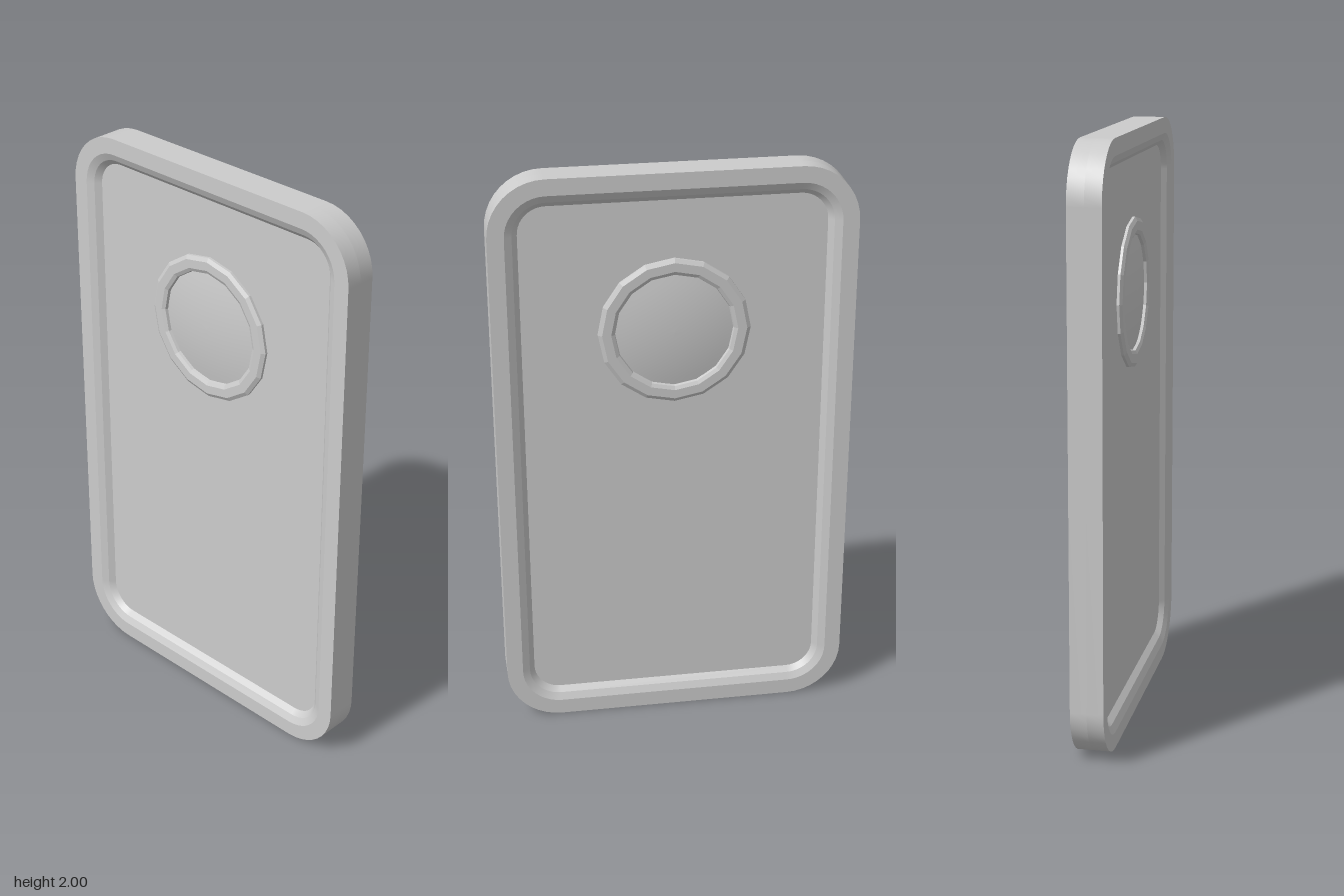
import * as THREE from 'three';

const material = new THREE.MeshStandardMaterial({ color: 0xcccccc });
const faceted = new THREE.MeshStandardMaterial({ color: 0xcccccc, flatShading: true });
const HALF_W = 0.6, HALF_H = 1, CORNER = 0.19, STEPS = 10;

// Rounded rectangle, counter-clockwise from the front, inset by d at depth z
function loop(d, z) {
  const r = CORNER - d, points = [];
  [[1, 1], [-1, 1], [-1, -1], [1, -1]].forEach(([sx, sy], corner) => {
    for (let i = 0; i <= STEPS; i++) {
      const a = (corner + i / STEPS) * Math.PI / 2;
      points.push([
        sx * (HALF_W - CORNER) + r * Math.cos(a),
        1 + sy * (HALF_H - CORNER) + r * Math.sin(a),
        z,
      ]);
    }
  });
  return points;
}

function surface(name, positions, index) {
  const geometry = new THREE.BufferGeometry();
  geometry.setAttribute('position', new THREE.Float32BufferAttribute(positions.flat(), 3));
  geometry.setIndex(index);
  geometry.computeVertexNormals();
  const mesh = new THREE.Mesh(geometry, material);
  mesh.name = name;
  return mesh;
}

// Strip joining an outer loop to an inner loop
function band(name, [d0, z0], [d1, z1]) {
  const outer = loop(d0, z0), inner = loop(d1, z1), n = outer.length, index = [];
  for (let i = 0; i < n; i++) {
    const j = (i + 1) % n;
    index.push(i, j, n + j, i, n + j, n + i);
  }
  return surface(name, [...outer, ...inner], index);
}

function panel(d, z) {
  const edge = loop(d, z), n = edge.length, index = [];
  for (let i = 0; i < n; i++) index.push(n, i, (i + 1) % n);
  return surface('recessedPanel', [...edge, [0, 1, z]], index);
}

// Turned part whose axis points out of the panel
function turned(name, profile, sides, mat) {
  const geometry = new THREE.LatheGeometry(profile.map(([r, z]) => new THREE.Vector2(r, z)), sides);
  geometry.rotateX(Math.PI / 2);
  const mesh = new THREE.Mesh(geometry, mat);
  mesh.name = name;
  mesh.position.y = 1.453;
  return mesh;
}

function createFace(name) {
  const face = new THREE.Group();
  face.name = name;

  // Half of the side wall, flat rim and two-step slope into the recess
  face.add(
    band('sideWall', [0, 0], [0, 0.055]),
    band('rim', [0, 0.055], [0.055, 0.055]),
    band('upperSlope', [0.055, 0.055], [0.08, 0.043]),
    band('lowerSlope', [0.08, 0.043], [0.098, 0.025]),
    panel(0.098, 0.025),
  );

  // Round bezel with a shallow domed lens
  face.add(turned('bezel', [
    [0.253, 0.02], [0.253, 0.034], [0.24, 0.042],
    [0.21, 0.042], [0.198, 0.036], [0.194, 0.02],
  ], 16, faceted));
  const dome = [];
  for (let i = 0; i <= 8; i++) {
    const r = 0.196 * (1 - i / 8);
    dome.push([r, 0.026 + 0.018 * (1 - (r / 0.196) ** 2)]);
  }
  face.add(turned('lens', dome, 32, material));
  return face;
}

export function createModel() {
  const model = new THREE.Group();
  model.name = 'framedPlaque';
  const back = createFace('backFace');
  back.rotation.y = Math.PI;
  model.add(createFace('frontFace'), back);
  return model;
}
